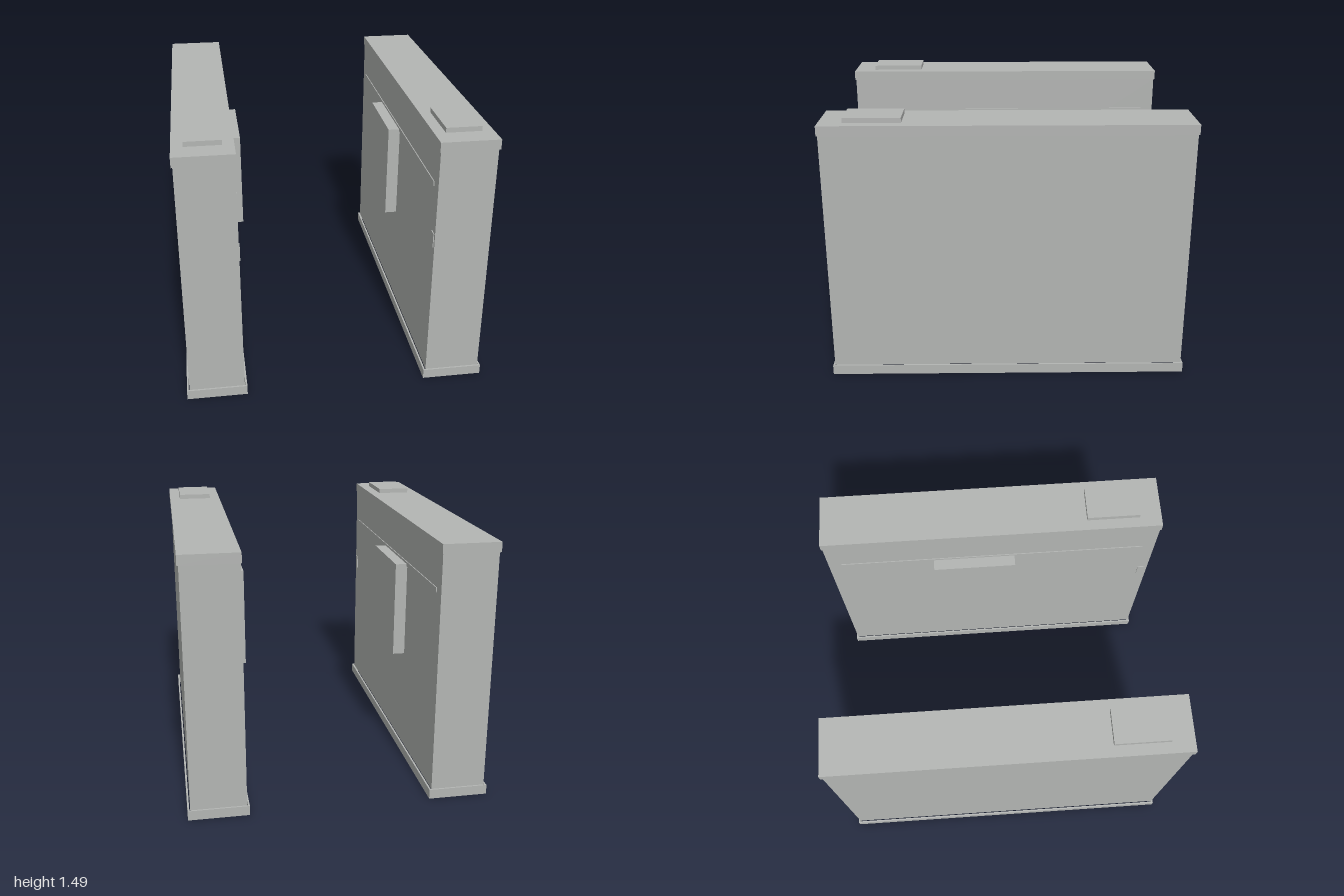
import * as THREE from 'three';

const grey = new THREE.MeshStandardMaterial({ color: 0xb3b5b3 });
grey.name = 'grey';

// Box given by its lower and upper limits on each axis
function block(name, [x0, x1], [y0, y1], [z0, z1]) {
  const mesh = new THREE.Mesh(new THREE.BoxGeometry(x1 - x0, y1 - y0, z1 - z0), grey);
  mesh.position.set((x0 + x1) / 2, (y0 + y1) / 2, (z0 + z1) / 2);
  mesh.name = name;
  return mesh;
}

function rectangle(path, x, z) {
  path.moveTo(-x, -z);
  path.lineTo(x, -z);
  path.lineTo(x, z);
  path.lineTo(-x, z);
  path.closePath();
  return path;
}

// Thin skirt around the foot, open underneath
function footSkirt() {
  const shape = rectangle(new THREE.Shape(), 0.168, 1);
  shape.holes.push(rectangle(new THREE.Path(), 0.158, 0.99));
  const geometry = new THREE.ExtrudeGeometry(shape, { depth: 0.055, bevelEnabled: false });
  geometry.rotateX(-Math.PI / 2);
  const mesh = new THREE.Mesh(geometry, grey);
  mesh.position.x = 0.674;
  mesh.name = 'footSkirt';
  return mesh;
}

// One gate cabinet; side = 1 for left (+x), -1 for right (-x)
function cabinet(side) {
  const group = new THREE.Group();
  group.name = side > 0 ? 'leftCabinet' : 'rightCabinet';
  group.add(
    block('body', [0.52, 0.827], [0.053, 1.41], [-0.99, 0.99]),
    block('topCap', [0.515, 0.835], [1.41, 1.465], [-0.996, 0.996]),
    block('readerPad', [0.577, 0.772], [1.465, 1.492], [0.56, 0.868]),
    block('barrierFlap', [0.45, 0.52], [0.638, 1.2], [-0.355, 0.135]),
    block('lightStrip', [0.515, 0.52], [1.186, 1.213], [-0.915, 0.915]),
    block('sensor', [0.515, 0.52], [0.85, 0.932], [0.93, 0.975]),
    footSkirt()
  );
  // Mirror by position; every part is symmetric in x about its own centre
  for (const part of group.children) part.position.x *= side;
  return group;
}

export function createModel() {
  const model = new THREE.Group();
  model.name = 'flapBarrierGate';
  for (const side of [1, -1]) model.add(cabinet(side));
  return model;
}
